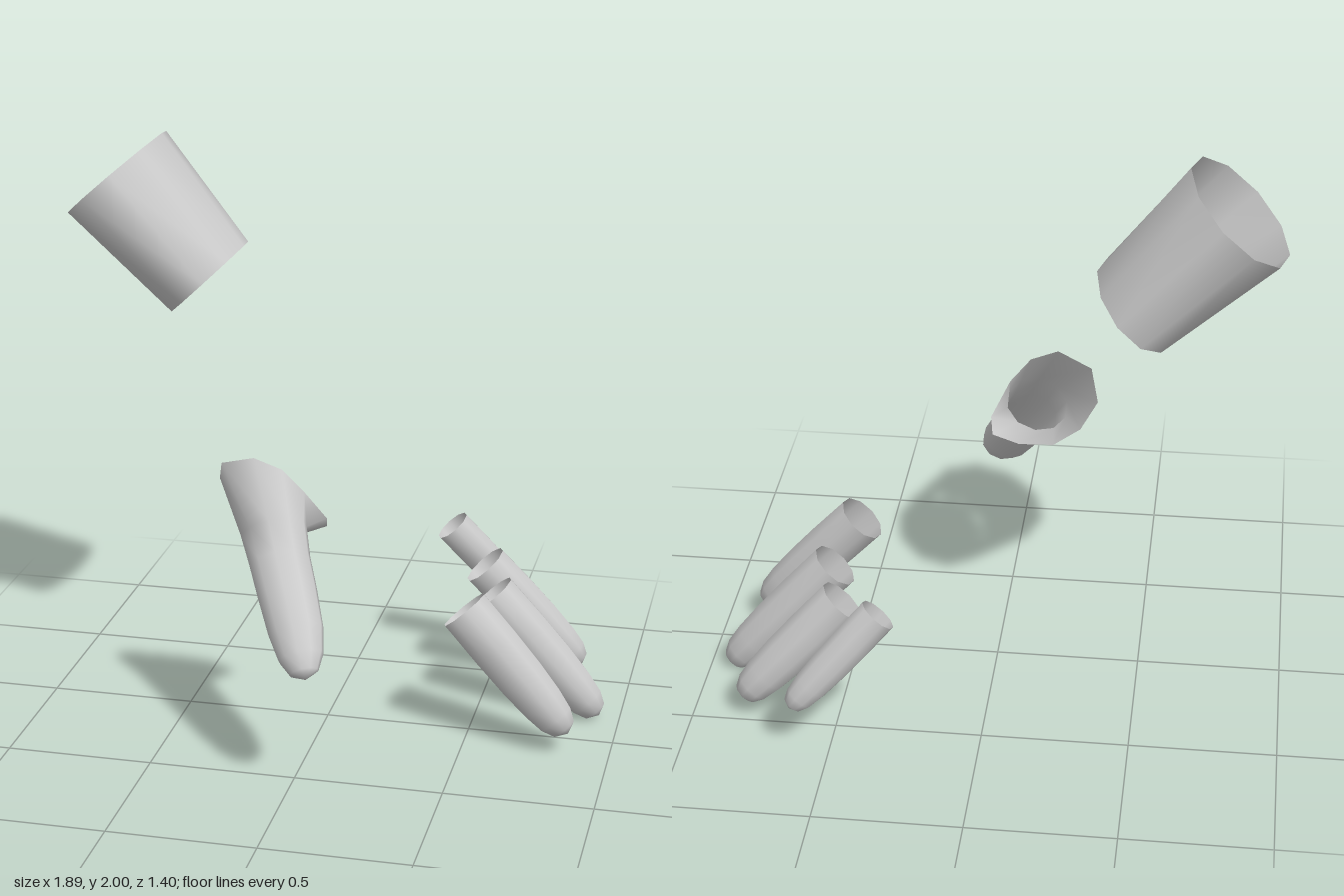
import * as THREE from 'three';

const SIDES = 10;
const vec = (a) => new THREE.Vector3(...a);

// Ring of points around c, with half-axes u and v
function ring(c, u, v) {
  return Array.from({ length: SIDES }, (_, i) => {
    const a = (i / SIDES) * Math.PI * 2;
    return c.clone().addScaledVector(v, Math.cos(a)).addScaledVector(u, -Math.sin(a));
  });
}

// Ring square to direction d; 'side' picks the axis that ru is measured along
function squareRing(c, d, side, ru, rv) {
  const u = side.clone().addScaledVector(d, -side.dot(d)).normalize();
  const v = d.clone().cross(u);
  return ring(c, u.multiplyScalar(ru), v.multiplyScalar(rv));
}

// Smooth skin through the rings, open at the start, closed at the tip if given
function skin(name, rings, tip) {
  const points = rings.flat();
  const index = [];
  for (let r = 0; r < rings.length - 1; r++) {
    for (let i = 0; i < SIDES; i++) {
      const j = (i + 1) % SIDES;
      const a = r * SIDES + i, b = r * SIDES + j;
      index.push(a, b, a + SIDES, b, b + SIDES, a + SIDES);
    }
  }
  if (tip) {
    const last = (rings.length - 1) * SIDES;
    for (let i = 0; i < SIDES; i++) index.push(last + i, last + ((i + 1) % SIDES), points.length);
    points.push(tip);
  }
  const geometry = new THREE.BufferGeometry().setFromPoints(points);
  geometry.setIndex(index);
  geometry.computeVertexNormals();
  const mesh = new THREE.Mesh(
    geometry,
    new THREE.MeshStandardMaterial({ color: 0xcccccc, side: THREE.DoubleSide })
  );
  mesh.name = name;
  return mesh;
}

// Tapered finger sleeve: open base, rounded tip
function finger(name, base, tip, rz, rv) {
  const a = vec(base), b = vec(tip);
  const d = b.clone().sub(a).normalize();
  const profile = [[0, 1], [0.3, 1], [0.55, 0.96], [0.75, 0.87], [0.88, 0.74], [0.96, 0.5]];
  const rings = profile.map(([t, s]) =>
    squareRing(a.clone().lerp(b, t), d, new THREE.Vector3(0, 0, 1), rz * s, rv * s));
  return skin(name, rings, b);
}

export function createModel() {
  const model = new THREE.Group();

  // Wrist cuff, open at both ends
  model.add(skin('wristCuff', [
    ring(vec([-0.785, 1.86, -0.21]), vec([0, 0, 0.267]), vec([-0.16, -0.14, 0])),
    ring(vec([-0.46, 1.513, -0.2]), vec([0, 0, 0.247]), vec([-0.12, -0.113, 0])),
  ]));

  // Thumb with a flared, slanted rim
  const rim = [
    [-0.175, 1.055, 0.325], [-0.295, 1.015, 0.285], [-0.325, 0.93, 0.2], [-0.27, 0.85, 0.145],
    [-0.18, 0.8, 0.115], [-0.06, 0.79, 0.125], [0.04, 0.785, 0.19], [0.05, 0.83, 0.235],
    [-0.01, 0.94, 0.3], [-0.08, 1.02, 0.32],
  ].map(vec);
  const thumbAxis = vec([0.2, -0.42, 0.38]).normalize();
  const thumbRings = [
    [[-0.1, 0.82, 0.36], 0.112, 0.095],
    [[-0.065, 0.74, 0.42], 0.103, 0.085],
    [[-0.025, 0.66, 0.485], 0.1, 0.082],
    [[0.025, 0.56, 0.57], 0.092, 0.076],
    [[0.055, 0.5, 0.63], 0.075, 0.063],
    [[0.075, 0.465, 0.67], 0.048, 0.04],
  ].map(([c, ru, rv]) => squareRing(vec(c), thumbAxis, new THREE.Vector3(1, 0, 0), ru, rv));
  model.add(skin('thumb', [rim, ...thumbRings], vec([0.085, 0.45, 0.69])));

  // Four fingers
  model.add(
    finger('indexFinger', [0.49, 0.48, 0.078], [0.86, 0.075, 0.115], 0.079, 0.09),
    finger('middleFinger', [0.545, 0.44, -0.175], [0.93, 0.013, -0.185], 0.079, 0.087),
    finger('ringFinger', [0.48, 0.452, -0.41], [0.83, 0.073, -0.47], 0.075, 0.085),
    finger('littleFinger', [0.33, 0.523, -0.585], [0.625, 0.185, -0.67], 0.058, 0.067)
  );

  return model;
}
